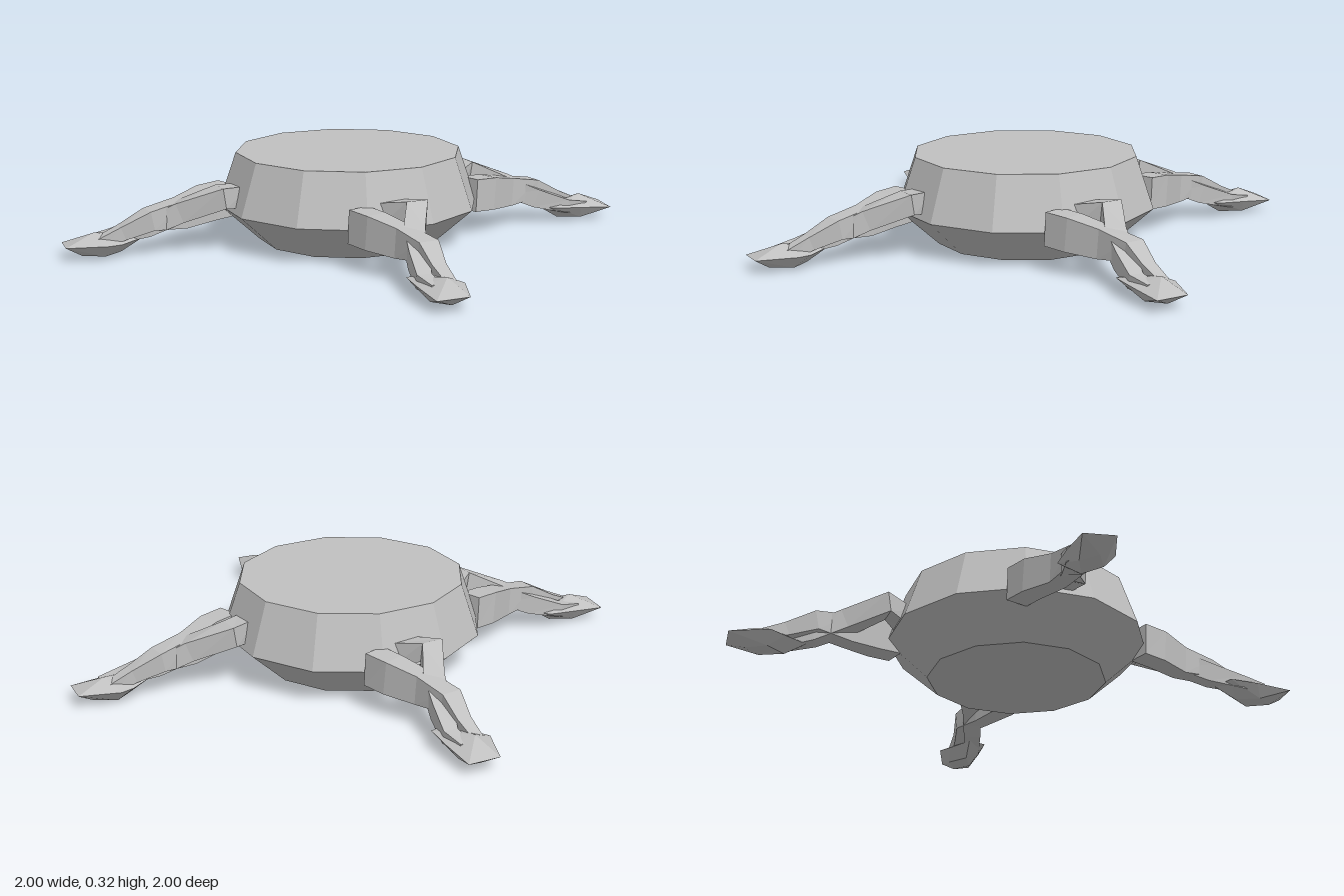
import * as THREE from 'three';
import { ConvexGeometry } from 'three/addons/geometries/ConvexGeometry.js';

const stone = new THREE.MeshStandardMaterial({ color: 0xc0c0c0 });
stone.name = 'plain grey';

// Faceted mesh: every face keeps its own normal
function part(name, geometry) {
  const g = geometry.index ? geometry.toNonIndexed() : geometry;
  g.computeVertexNormals();
  const mesh = new THREE.Mesh(g, stone);
  mesh.name = name;
  return mesh;
}

// Four-sided beam lofted through stations [x, y, z, halfWidth, halfHeight]
function beam(stations) {
  const up = new THREE.Vector3(0, 1, 0);
  const pts = stations.map(([x, y, z]) => new THREE.Vector3(x, y, z));
  const rings = stations.map(([, , , w, h], i) => {
    const before = pts[Math.max(i - 1, 0)];
    const after = pts[Math.min(i + 1, pts.length - 1)];
    const dir = after.clone().sub(before).normalize();
    const side = dir.clone().cross(up).normalize();
    const top = side.clone().cross(dir);
    return [[1, 1], [-1, 1], [-1, -1], [1, -1]].map(([a, b]) =>
      pts[i].clone().addScaledVector(side, a * w).addScaledVector(top, b * h));
  });
  const out = [];
  const quad = (a, b, c, d) => [a, b, c, a, c, d].forEach((p) => out.push(p.x, p.y, p.z));
  for (let i = 0; i < rings.length - 1; i++) {
    for (let k = 0; k < 4; k++) {
      const n = (k + 1) % 4;
      quad(rings[i][k], rings[i + 1][k], rings[i + 1][n], rings[i][n]);
    }
  }
  quad(...rings[0]);
  quad(...rings[rings.length - 1].slice().reverse());
  const g = new THREE.BufferGeometry();
  g.setAttribute('position', new THREE.Float32BufferAttribute(out, 3));
  return g;
}

// One leg reaching along +x: two crossing struts and a pointed foot
function createLeg() {
  const leg = new THREE.Group();
  leg.name = 'leg';

  leg.add(part('straightStrut', beam([
    [0.37, 0.15, 0.25, 0.042, 0.06],
    [0.46, 0.145, 0.248, 0.042, 0.06],
    [0.58, 0.13, 0.228, 0.034, 0.052],
    [0.71, 0.125, 0.23, 0.037, 0.035],
    [0.8, 0.085, 0.265, 0.025, 0.025],
    [0.88, 0.055, 0.285, 0.02, 0.02],
  ])));

  leg.add(part('bentStrut', beam([
    [0.38, 0.18, 0.14, 0.04, 0.04],
    [0.495, 0.2, 0.095, 0.04, 0.037],
    [0.6, 0.145, 0.195, 0.036, 0.037],
    [0.7, 0.095, 0.26, 0.033, 0.035],
    [0.8, 0.06, 0.325, 0.025, 0.025],
    [0.88, 0.05, 0.34, 0.02, 0.02],
  ])));

  leg.add(part('foot', new ConvexGeometry([
    [0.72, 0.055, 0.26], [0.73, 0.06, 0.34], [0.82, 0.05, 0.23],
    [0.88, 0.055, 0.22], [1, 0.05, 0.305], [0.96, 0.045, 0.41],
    [0.83, 0.055, 0.375], [0.89, 0.09, 0.305], [0.79, 0.01, 0.29],
    [0.87, 0.01, 0.26], [0.93, 0.01, 0.32], [0.86, 0.01, 0.35],
  ].map((p) => new THREE.Vector3(...p)))));
  return leg;
}

export function createModel() {
  const model = new THREE.Group();
  model.name = 'fourLeggedDisc';

  // Twelve-sided body, widest below the middle
  const profile = [[0, 0], [0.325, 0], [0.475, 0.135], [0.41, 0.325], [0, 0.325]]
    .map(([r, y]) => new THREE.Vector2(r, y));
  model.add(part('body', new THREE.LatheGeometry(profile, 12)));

  // Same leg at each quarter turn
  ['leftLeg', 'backLeg', 'rightLeg', 'frontLeg'].forEach((name, i) => {
    const leg = createLeg();
    leg.name = name;
    leg.rotation.y = i * Math.PI / 2;
    model.add(leg);
  });
  return model;
}
